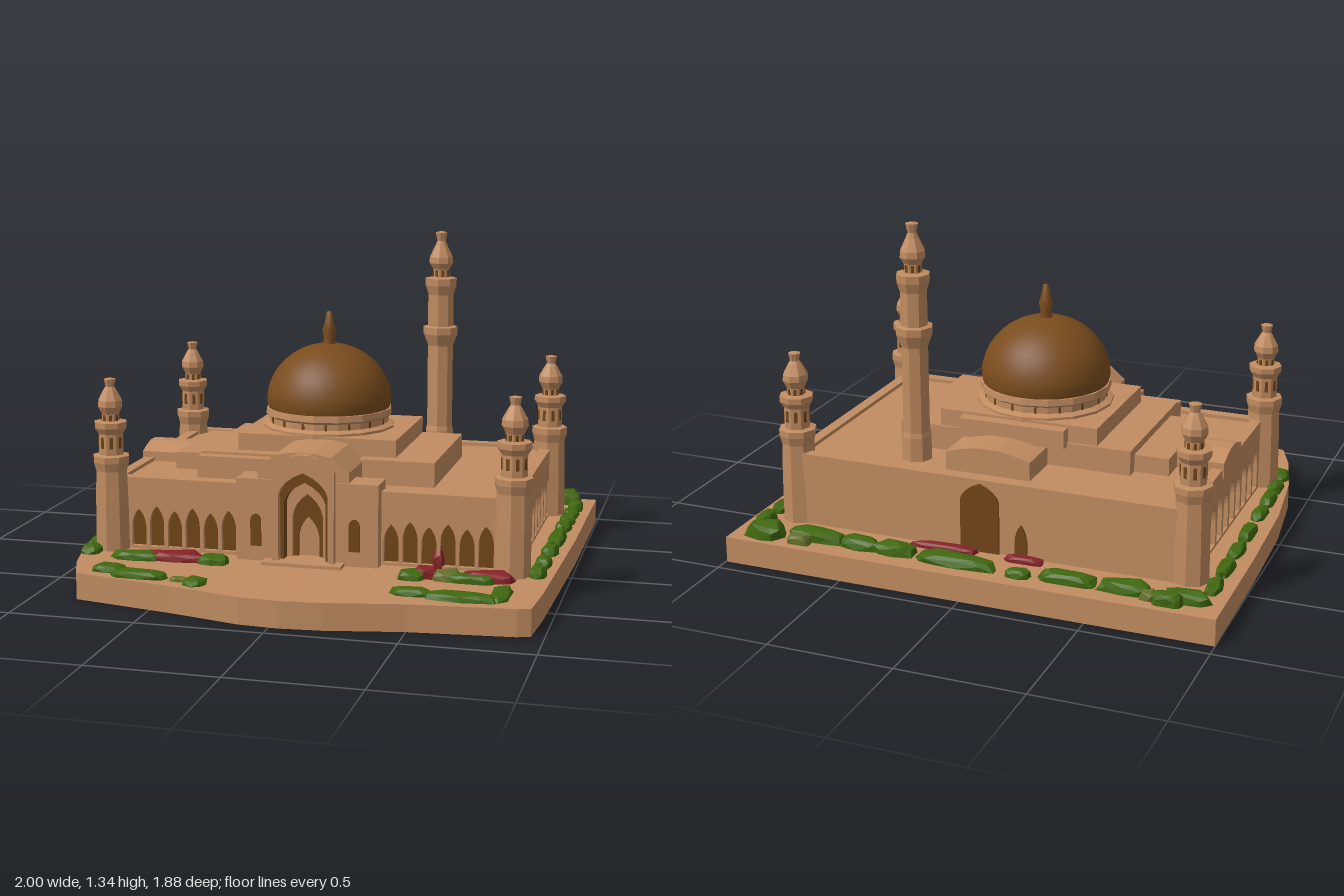
import * as THREE from 'three';

export function createModel() {
  const model = new THREE.Group();
  const mat = (name, color, flatShading = false) => {
    const m = new THREE.MeshStandardMaterial({ color, flatShading });
    m.name = name;
    return m;
  };
  const sand = mat('sandstone', 0xc18c61, true);
  const bronze = mat('bronze', 0x7a4c1d);
  const brown = mat('dark opening', 0x704517, true);
  const green = mat('hedge green', 0x40680f, true);
  const olive = mat('olive shrub', 0x66702a, true);
  const red = mat('flower red', 0x842328, true);

  const add = (name, geo, m, parent = model) => {
    const mesh = new THREE.Mesh(geo, m);
    mesh.name = name;
    parent.add(mesh);
    return mesh;
  };
  // Box given by its limits on each axis
  const box = (name, x0, x1, y0, y1, z0, z1, parent = model) => {
    const mesh = add(name, new THREE.BoxGeometry(x1 - x0, y1 - y0, z1 - z0), sand, parent);
    mesh.position.set((x0 + x1) / 2, (y0 + y1) / 2, (z0 + z1) / 2);
    return mesh;
  };
  const lathe = (pts, n) => new THREE.LatheGeometry(pts.map(p => new THREE.Vector2(...p)), n);
  const poly = pts => new THREE.Shape(pts.map(p => new THREE.Vector2(...p)));
  const extrude = (shape, depth) =>
    new THREE.ExtrudeGeometry(shape, { depth, bevelEnabled: false, curveSegments: 4 });
  // Pointed arch outline
  const arch = (x, w, y0, spring, top, Type = THREE.Shape) => {
    const s = new Type();
    s.moveTo(x - w, y0);
    s.lineTo(x + w, y0);
    s.lineTo(x + w, spring);
    s.quadraticCurveTo(x + w * 0.85, (spring + top) / 2 + 0.01, x, top);
    s.quadraticCurveTo(x - w * 0.85, (spring + top) / 2 + 0.01, x - w, spring);
    s.lineTo(x - w, y0);
    return s;
  };

  // Plinth with a bowed front edge
  const G = 0.105;
  const plinth = extrude(poly([
    [-1, -0.94], [0.995, -0.94], [0.99, -0.2], [0.965, 0.6], [0.95, 0.8], [0.9, 0.82], [0.5, 0.86],
    [0.2, 0.92], [0.04, 0.935], [-0.12, 0.925], [-0.4, 0.855], [-0.82, 0.77], [-0.88, 0.62],
    [-0.94, 0.38], [-0.98, 0.05], [-0.995, -0.4],
  ]), G);
  plinth.rotateX(Math.PI / 2);
  plinth.translate(0, G, 0);
  add('plinth', plinth, sand);

  // Main hall and its roof
  box('hallCore', -0.76, 0.76, G - 0.01, 0.375, -0.64, 0.3);
  box('roof', -0.8, 0.8, 0.345, 0.385, -0.67, 0.34);

  // Outer walls, each with a row of pointed openings and dark backs
  const wall = (name, half, spots, w, height, x, z, turn) => {
    const g = new THREE.Group();
    g.name = name;
    const s = poly([[-half, G - 0.01], [half, G - 0.01], [half, 0.4], [-half, 0.4]]);
    for (const [i, p] of spots.entries()) {
      const top = height + 0.015 * (i % 2);
      s.holes.push(arch(p, w, G + 0.012, top - 0.065, top, THREE.Path));
      const back = add('openingBack', new THREE.ShapeGeometry(arch(p, w, G, top - 0.065, top)), brown, g);
      back.position.z = 0.025;
    }
    add('arcade', extrude(s, 0.045), sand, g);
    g.position.set(x, 0, z);
    g.rotation.y = turn;
    model.add(g);
  };
  const row = (n, a, b) => Array.from({ length: n }, (_, i) => a + (b - a) * i / (n - 1));
  wall('frontWallRight', 0.275, row(6, -0.165, 0.215), 0.03, 0.27, -0.545, 0.32, 0);
  wall('frontWallLeft', 0.275, row(6, -0.21, 0.165), 0.03, 0.27, 0.545, 0.32, 0);
  wall('backWall', 0.82, [], 0, 0, 0, -0.655, Math.PI);
  wall('leftWall', 0.53, row(10, -0.41, 0.39), 0.034, 0.285, 0.78, -0.165, Math.PI / 2);
  wall('rightWall', 0.53, row(10, -0.39, 0.41), 0.034, 0.285, -0.78, -0.165, -Math.PI / 2);

  // Back doorway with a niche beside it
  for (const [x, w, top] of [[0.01, 0.08, 0.385], [-0.16, 0.025, 0.24]]) {
    const door = add('backDoor', extrude(arch(x, w, G, top - 0.07, top), 0.008), brown);
    door.position.z = -0.708;
  }

  // Stepped roof tiers
  box('mainTier', -0.5, 0.47, 0.37, 0.485, -0.42, 0.19);
  box('mainTierFront', -0.5, -0.17, 0.37, 0.475, 0.15, 0.24);
  box('rightTier', -0.64, -0.48, 0.37, 0.455, -0.37, 0.1);
  box('upperTier', -0.36, 0.3, 0.47, 0.555, -0.41, 0.13);
  box('upperTierBack', -0.24, 0.2, 0.47, 0.545, -0.46, -0.38);

  // Vaulted arms of the roof
  const vault = (name, half, base, y, top, length, x, z, turn) => {
    const g = extrude(poly([[-half, base], [half, base], [half, y], [half * 0.62, top - 0.012],
      [half * 0.25, top], [-half * 0.25, top], [-half * 0.62, top - 0.012], [-half, y]]), length);
    const m = add(name, g, sand);
    m.position.set(x, 0, z);
    m.rotation.y = turn;
  };
  vault('rightArm', 0.125, 0.36, 0.425, 0.455, 0.34, -0.49, -0.14, -Math.PI / 2);
  vault('backArm', 0.175, 0.36, 0.46, 0.49, 0.22, 0.015, -0.39, Math.PI);
  vault('frontArm', 0.185, 0.36, 0.475, 0.545, 0.19, -0.01, 0.1, 0);
  vault('portalRoof', 0.185, 0.43, 0.475, 0.545, 0.12, -0.01, 0.29, 0);

  // Entrance portal: wings, nested pointed arches and door
  const portal = new THREE.Group();
  portal.name = 'portal';
  model.add(portal);
  for (const s of [-1, 1]) {
    box('portalWing', s < 0 ? -0.28 : 0.11, s < 0 ? -0.11 : 0.295, G - 0.01, 0.435, 0.29, 0.42, portal);
    const win = add('wingWindow', extrude(arch(s * 0.2, 0.022, 0.165, 0.27, 0.295), 0.006), brown, portal);
    win.position.z = 0.418;
  }
  const frame = (name, outline, hole, z, depth, m) => {
    outline.holes.push(arch(0, ...hole, THREE.Path));
    add(name, extrude(outline, depth), m, portal).position.z = z;
  };
  frame('outerArch', poly([[-0.125, G - 0.01], [0.125, G - 0.01], [0.125, 0.48], [0.06, 0.53], [0.025, 0.545],
    [-0.025, 0.545], [-0.06, 0.53], [-0.125, 0.48]]), [0.1, G, 0.385, 0.475], 0.42, 0.03, sand);
  const panel = () => poly([[-0.11, G - 0.01], [0.11, G - 0.01], [0.11, 0.485], [-0.11, 0.485]]);
  frame('middleArch', panel(), [0.085, G, 0.345, 0.43], 0.375, 0.045, brown);
  frame('innerArch', panel(), [0.062, G, 0.285, 0.375], 0.36, 0.015, sand);
  frame('doorSurround', panel(), [0.043, G, 0.2, 0.28], 0.345, 0.015, brown);
  box('door', -0.1, 0.1, G - 0.01, 0.4, 0.3, 0.344, portal);
  box('threshold', -0.16, 0.16, G - 0.01, 0.118, 0.34, 0.485, portal);

  // Drum, dome and finial
  const dome = new THREE.Group();
  dome.name = 'dome';
  dome.position.set(-0.045, 0, -0.14);
  model.add(dome);
  add('drum', lathe([[0.275, 0.54], [0.275, 0.565], [0.25, 0.575], [0.25, 0.6], [0.265, 0.61],
    [0.262, 0.635], [0.2, 0.64]], 16), sand, dome);
  const profile = [[0.25, 0.625]];
  for (let i = 0; i <= 10; i++) {
    const a = i / 10 * Math.PI / 2;
    profile.push([Math.max(0.26 * Math.cos(a), 0.0001), 0.66 + 0.24 * Math.sin(a)]);
  }
  add('domeShell', lathe(profile, 32), bronze, dome);
  add('finial', lathe([[0.03, 0.88], [0.024, 0.92], [0.03, 0.955], [0.02, 0.985], [0.012, 1.03], [0.0001, 1.035]], 8),
    bronze, dome);
  for (let i = 0; i < 16; i++) {
    const a = (i + 0.5) / 16 * Math.PI * 2;
    const w = add('drumWindow', new THREE.BoxGeometry(0.01, 0.025, 0.006), brown, dome);
    w.position.set(Math.sin(a) * 0.246, 0.587, Math.cos(a) * 0.246);
    w.rotation.y = a;
  }

  // Octagonal towers with small dark niches: [height, radius, niche width, niche height]
  const tower = (name, x, z, pts, niches) => {
    const g = new THREE.Group();
    g.name = name;
    g.position.set(x, 0, z);
    model.add(g);
    add('shaft', lathe(pts, 8), sand, g);
    for (const [y, r, w, h] of niches)
      for (let i = 0; i < 8; i++) {
        const a = (i + 0.5) * Math.PI / 4;
        const n = add('niche', new THREE.BoxGeometry(w, h, 0.008), brown, g);
        n.position.set(Math.sin(a) * r, y, Math.cos(a) * r);
        n.rotation.y = a;
      }
  };
  const corner = [[0.072, 0.095], [0.07, 0.3], [0.066, 0.43], [0.076, 0.465], [0.076, 0.49], [0.052, 0.495],
    [0.052, 0.58], [0.068, 0.605], [0.068, 0.628], [0.036, 0.632], [0.036, 0.66], [0.052, 0.69], [0.05, 0.715],
    [0.028, 0.755], [0.018, 0.77], [0.025, 0.8], [0.0001, 0.805]];
  for (const x of [-0.82, 0.815])
    for (const z of [-0.65, 0.375])
      tower('cornerTower', x, z, corner, [[0.545, 0.047, 0.013, 0.045], [0.645, 0.032, 0.012, 0.024]]);
  tower('tallMinaret', 0.35, -0.53, [[0.062, 0.37], [0.06, 0.48], [0.055, 0.5], [0.055, 0.85], [0.075, 0.9],
    [0.075, 0.93], [0.056, 0.935], [0.055, 1.07], [0.068, 1.11], [0.068, 1.14], [0.036, 1.145], [0.036, 1.18],
    [0.052, 1.205], [0.05, 1.23], [0.026, 1.28], [0.018, 1.3], [0.026, 1.335], [0.0001, 1.342]],
  [[1.162, 0.032, 0.012, 0.028]]);

  // Planting: blocky faceted clumps [x, z, half width, half depth, height]
  const clump = (name, m, list) => list.forEach(([x, z, w, d, h], i) => {
    const geo = new THREE.IcosahedronGeometry(1, 1);
    const p = geo.attributes.position;
    const square = v => Math.sign(v) * Math.abs(v) ** 0.65;
    for (let k = 0; k < p.count; k++) {
      const px = p.getX(k), py = p.getY(k), pz = p.getZ(k);
      const r = 0.98 + 0.12 * Math.sin(px * 5 + i * 1.7) * Math.cos(pz * 4 + py * 3 + i);
      p.setXYZ(k, square(px) * w * r, square(py) * h * r, square(pz) * d * r);
    }
    add(name, geo, m).position.set(x, G, z);
  });
  clump('backHedge', green, [[-0.86, -0.83, 0.09, 0.04, 0.045], [-0.8, -0.88, 0.06, 0.035, 0.05],
    [-0.62, -0.83, 0.105, 0.045, 0.045], [-0.4, -0.835, 0.115, 0.04, 0.042], [-0.21, -0.86, 0.05, 0.028, 0.035],
    [0.05, -0.84, 0.17, 0.045, 0.042], [0.31, -0.83, 0.09, 0.045, 0.045], [0.46, -0.83, 0.085, 0.042, 0.045],
    [0.65, -0.825, 0.125, 0.045, 0.045], [0.86, -0.86, 0.08, 0.06, 0.06]]);
  clump('sideHedge', green, [
    ...[-0.7, -0.53, -0.36, -0.18, 0.02, 0.18, 0.31].map((z, i) =>
      [-0.925 + 0.004 * i, z, 0.03, 0.066 + 0.014 * (i % 2), 0.036]),
    [-0.88, 0.45, 0.045, 0.06, 0.032],
    ...[-0.74, -0.61, -0.5, -0.37, -0.17, 0.03, 0.21, 0.36].map((z, i) =>
      [0.925 - 0.002 * i, z, 0.034, 0.06 + (i === 4 ? 0.055 : 0), 0.038])]);
  clump('frontHedge', green, [[-0.67, 0.51, 0.1, 0.042, 0.034], [-0.35, 0.495, 0.06, 0.05, 0.034],
    [0.45, 0.51, 0.055, 0.055, 0.034], [0.68, 0.52, 0.09, 0.034, 0.034],
    [-0.71, 0.7, 0.065, 0.045, 0.028], [-0.57, 0.755, 0.12, 0.045, 0.028], [-0.33, 0.795, 0.045, 0.05, 0.024],
    [0.49, 0.73, 0.08, 0.038, 0.028], [0.68, 0.75, 0.14, 0.045, 0.028], [0.82, 0.67, 0.038, 0.1, 0.024]]);
  clump('oliveShrub', olive, [[0.58, 0.49, 0.06, 0.055, 0.036], [-0.4, 0.775, 0.035, 0.02, 0.018],
    [-0.72, -0.86, 0.03, 0.03, 0.035], [0.7, -0.885, 0.05, 0.025, 0.04]]);
  clump('flowerBed', red, [[-0.51, 0.485, 0.125, 0.05, 0.036], [0.5, 0.485, 0.045, 0.042, 0.045],
    [0.74, 0.485, 0.105, 0.042, 0.042], [-0.185, -0.735, 0.08, 0.024, 0.026], [0.145, -0.735, 0.145, 0.024, 0.026],
    [0.52, 0.345, 0.025, 0.025, 0.08]]);

  return model;
}
